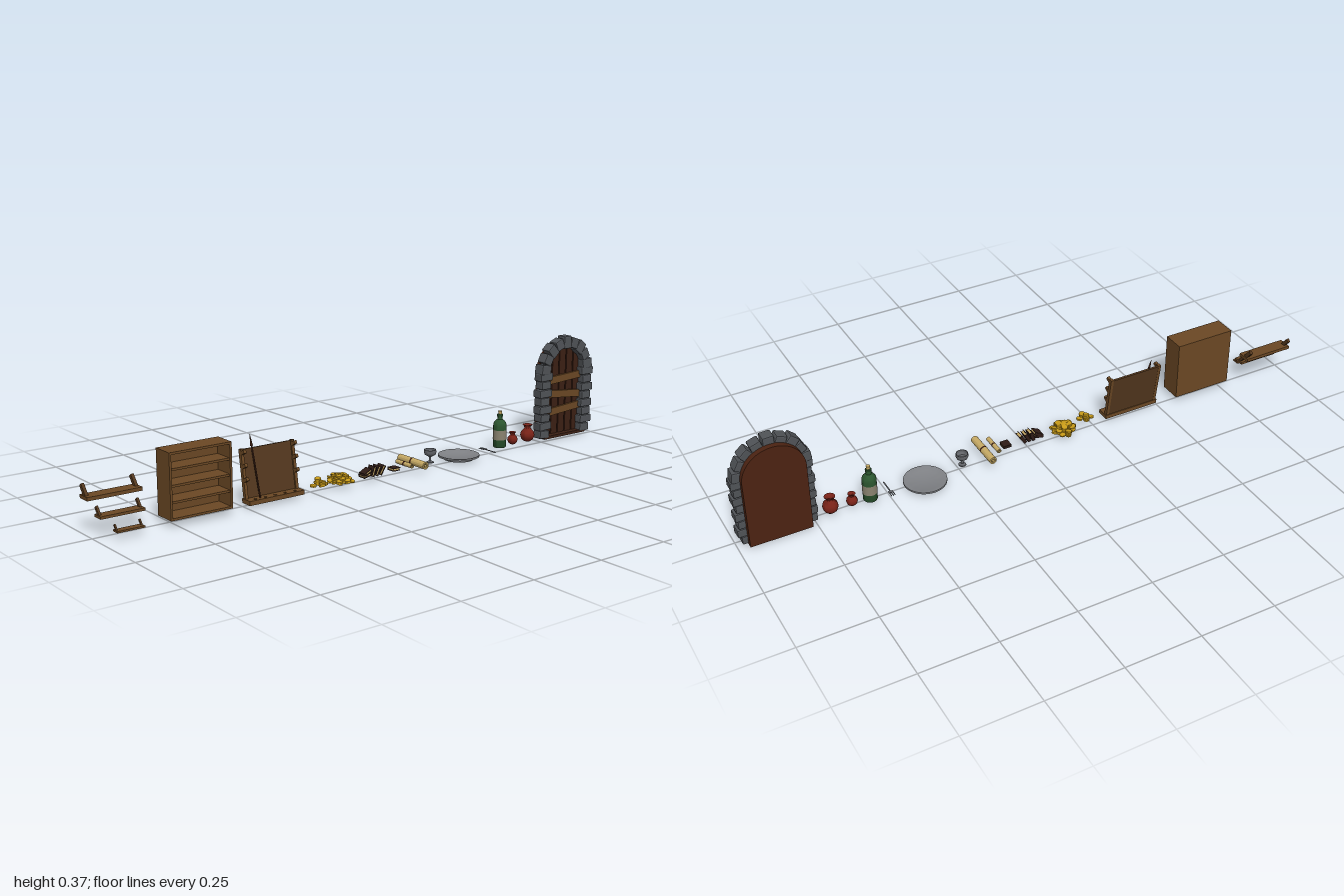
import * as THREE from 'three';
import { toCreasedNormals } from 'three/addons/utils/BufferGeometryUtils.js';
import { RoundedBoxGeometry } from 'three/addons/geometries/RoundedBoxGeometry.js';

const mat = (color, flatShading = true) =>
  new THREE.MeshStandardMaterial({ color, flatShading, side: THREE.DoubleSide });
const WOOD = mat(0x6b4824), DARK_WOOD = mat(0x54381e), DOOR = mat(0x4c2312), PLANK = mat(0x3c2014);
const STONE = mat(0x505357), GOLD = mat(0xc79a18), BOOK = mat(0x2e1c16), PAPER = mat(0xc9ac66);
const METAL = mat(0x63656a, false), GLASS = mat(0x2b552f, false), LABEL = mat(0x8a8370, false);
const CLAY = mat(0x7a2318, false), PLATE = mat(0x808286, false);

let seed = 7;
const rand = () => (seed = (seed * 16807) % 2147483647) / 2147483647;
const jitter = (a) => (rand() - 0.5) * 2 * a;

function add(parent, name, geometry, material, x = 0, y = 0, z = 0) {
  const m = new THREE.Mesh(geometry, material);
  m.name = name;
  m.position.set(x, y, z);
  parent.add(m);
  return m;
}
function group(parent, name, x = 0, y = 0, z = 0) {
  const g = new THREE.Group();
  g.name = name;
  g.position.set(x, y, z);
  parent.add(g);
  return g;
}
// Box given by its minimum and maximum corners
function span(parent, name, material, x0, x1, y0, y1, z0, z1) {
  return add(parent, name, new THREE.BoxGeometry(x1 - x0, y1 - y0, z1 - z0), material,
    (x0 + x1) / 2, (y0 + y1) / 2, (z0 + z1) / 2);
}
// Turned part from [radius, height] pairs
function lathe(pts, segments = 24, crease = 0.7) {
  return toCreasedNormals(new THREE.LatheGeometry(pts.map((p) => new THREE.Vector2(...p)), segments), crease);
}

// Arched door in a stone surround, facing +x
function door(root) {
  const g = group(root, 'archedDoor', 0, 0, -0.867);
  const spring = 0.245;
  const arch = new THREE.Shape();
  arch.moveTo(-0.1, 0.01).lineTo(0.1, 0.01).lineTo(0.1, spring);
  arch.absarc(0, spring, 0.1, 0, Math.PI).lineTo(-0.1, 0.01);
  const side = (shape, depth) => new THREE.ExtrudeGeometry(shape, { depth, bevelEnabled: false, curveSegments: 20 })
    .rotateY(-Math.PI / 2);
  add(g, 'doorPanel', side(arch, 0.021), DOOR, -0.031);
  // Vertical planks trimmed to the arch
  for (let i = -2; i <= 2; i++) {
    const a = i * 0.034 - 0.0145, b = a + 0.029;
    const top = (z) => spring + Math.sqrt(0.0081 - z * z);
    const s = new THREE.Shape();
    s.moveTo(a, 0.012).lineTo(b, 0.012).lineTo(b, top(b)).lineTo((a + b) / 2, top((a + b) / 2)).lineTo(a, top(a));
    add(g, 'doorPlank', side(s, 0.009), PLANK, -0.022);
  }
  // Crooked boards nailed across
  [[0.218, 0.05], [0.16, -0.1], [0.105, 0.07]].forEach(([y, tilt]) => {
    add(g, 'crossBoard', new THREE.BoxGeometry(0.008, 0.026, 0.168), WOOD, -0.016, y, 0).rotation.x = tilt;
  });
  span(g, 'threshold', PLANK, -0.03, 0.0, 0.008, 0.018, -0.1, 0.1);
  // Side stones and arch stones
  const stone = (w, h, y, z, angle) => {
    const m = add(g, 'surroundStone', new RoundedBoxGeometry(0.037 + jitter(0.002), h, w, 1, 0.004),
      STONE, -0.0155, y, z);
    m.rotation.set(angle + jitter(0.05), jitter(0.04), 0);
  };
  for (const s of [-1, 1]) {
    for (let i = 0; i < 8; i++) {
      const w = i % 2 ? 0.056 : 0.044;
      stone(w, 0.028, 0.027 + i * 0.0295, s * (0.099 + jitter(0.004)), 0);
    }
  }
  for (let i = 0; i < 9; i++) {
    const a = 0.14 + i * (Math.PI - 0.28) / 8, r = 0.102;
    stone(i % 2 ? 0.037 : 0.045, 0.036, spring + r * Math.sin(a), r * Math.cos(a), -a);
  }
}

// Three wall shelves of shrinking size, each with slanted brackets
function wallShelves(root) {
  [[-0.042, 0.107, 0.912, 0.045, 0.176, 1], [0.006, 0.061, 0.912, 0.036, 0.142, 0.75],
    [0.053, 0.026, 0.91, 0.025, 0.088, 0.5]].forEach(([x, y, z, depth, length, k]) => {
    const g = group(root, 'wallShelf', x, y, z);
    add(g, 'shelfBoard', new THREE.BoxGeometry(depth, 0.011 * k, length), WOOD, 0, 0.0055 * k, 0);
    for (const s of [-1, 1]) {
      add(g, 'bracket', new THREE.BoxGeometry(0.013 * k, 0.044 * k, 0.01 * k), DARK_WOOD,
        -0.012 * k, 0.021 * k, s * (length / 2 - 0.009 * k)).rotation.z = 0.68;
    }
  });
}

// Open bookcase
function bookcase(root) {
  const g = group(root, 'bookcase');
  const [x0, x1, y0, y1, z0, z1, t] = [-0.023, 0.052, 0.022, 0.226, 0.565, 0.775, 0.007];
  span(g, 'backPanel', WOOD, x0, x0 + t, y0, y1, z0, z1);
  span(g, 'sidePanel', WOOD, x0, x1, y0, y1, z0, z0 + t);
  span(g, 'sidePanel', WOOD, x0, x1, y0, y1, z1 - t, z1);
  for (let i = 0; i < 5; i++) {
    const y = y0 + i * (y1 - y0 - t) / 4;
    span(g, 'shelf', WOOD, x0 + t, x1 - (i % 4 ? 0.004 : 0), y, y + t, z0 + t, z1 - t);
  }
}

// Leaning rack with a drilled base, hooked posts and a spear
function weaponRack(root) {
  const g = group(root, 'weaponRack', 0, 0.012, 0.397);
  const base = new THREE.Shape();
  base.moveTo(-0.005, -0.1).lineTo(0.038, -0.1).lineTo(0.038, 0.1).lineTo(-0.005, 0.1);
  for (let i = -2; i <= 2; i++) {
    base.holes.push(new THREE.Path().absarc(0.025, i * 0.036, 0.005, 0, Math.PI * 2));
  }
  add(g, 'rackBase', new THREE.ExtrudeGeometry(base, { depth: 0.014, bevelEnabled: false, curveSegments: 6 })
    .rotateX(Math.PI / 2), WOOD, 0, 0.014, 0);
  const lean = group(g, 'leaningBack', 0.003, 0.006, 0);
  lean.rotation.z = 0.15;
  span(lean, 'backBoard', DARK_WOOD, -0.004, 0.003, 0, 0.158, -0.09, 0.09);
  for (const s of [-1, 1]) {
    add(lean, 'post', new THREE.BoxGeometry(0.013, 0.16, 0.01), WOOD, 0.002, 0.08, s * 0.092);
    for (let i = 0; i < 3; i++) {
      add(lean, 'hook', new THREE.BoxGeometry(0.018, 0.011, 0.01), WOOD, 0.015, 0.066 + i * 0.042, s * 0.092)
        .rotation.z = 0.35;
    }
  }
  const spear = group(g, 'spear', 0.025, 0.006, 0.053);
  spear.rotation.z = 0.27;
  add(spear, 'shaft', new THREE.CylinderGeometry(0.0028, 0.0028, 0.17, 8), PLANK, 0, 0.085, 0);
  add(spear, 'spearhead', new THREE.ConeGeometry(0.005, 0.04, 4), PLANK, 0, 0.188, 0);
}

// Gold coins: a few loose ones and a heaped pile
function coins(root) {
  const g = group(root, 'goldCoins');
  const disc = new THREE.CylinderGeometry(0.0105, 0.0105, 0.005, 12);
  const coin = (x, y, z, tilt) => add(g, 'coin', disc, GOLD, x, y, z).rotation.set(jitter(tilt), 0, jitter(tilt));
  [[0.018, 0.25, 1], [0.03, 0.225, 3], [0.01, 0.228, 4], [0.022, 0.212, 1]].forEach(([x, z, n]) => {
    for (let i = 0; i < n; i++) coin(x + jitter(0.002), 0.026 + i * 0.006, z + jitter(0.002), 0.15);
  });
  for (let i = 0; i < 20; i++) {
    const a = i * 2.4, r = Math.sqrt(i / 20);
    const n = i < 7 ? 4 : 1 + (i % 3);
    for (let j = 0; j < n; j++) {
      coin(0.006 + 0.037 * r * Math.cos(a), 0.02 + j * 0.0065, 0.137 + 0.038 * r * Math.sin(a), 0.3);
    }
  }
}

// Books: a leaning row and one lying flat, pages toward +x
function books(root) {
  const book = (h, t, y, z, tilt) => {
    const g = group(root, 'book', 0.016, y, z);
    g.rotation.x = tilt;
    for (const s of [-1, 1]) span(g, 'cover', BOOK, -0.015, 0.015, -h / 2, h / 2, s * t / 2 - 0.0012, s * t / 2 + 0.0012);
    span(g, 'spine', BOOK, -0.016, -0.013, -h / 2, h / 2, -t / 2, t / 2);
    span(g, 'pages', PAPER, -0.013, 0.0125, -h / 2 + 0.002, h / 2 - 0.002, -t / 2, t / 2);
  };
  [0.02, 0.003, -0.014].forEach((z, i) => book(0.034, 0.009, 0.034, z, -0.35 - i * 0.1));
  book(0.03, 0.008, 0.026, 0.046, -1.35);
  book(0.03, 0.008, 0.035, 0.043, -1.1);
  book(0.028, 0.008, 0.026, -0.072, -Math.PI / 2);
}

// Rolled scrolls with a tie band
function scroll(root, r, length, x, y, z) {
  const g = group(root, 'scroll', x, y, z);
  g.rotation.z = Math.PI / 2;
  const w = r * 0.6;
  add(g, 'paperRoll', lathe([[w, -length / 2], [r, -length / 2], [r, length / 2], [w, length / 2], [w, -length / 2]], 14), PAPER);
  add(g, 'innerRoll', new THREE.CylinderGeometry(r * 0.35, r * 0.35, length * 0.98, 10), PAPER);
  add(g, 'tieBand', new THREE.CylinderGeometry(r * 1.05, r * 1.05, 0.007, 14, 1, true), PLANK);
}

// Goblet, plate, fork, bottle and jars
function tableware(root) {
  add(root, 'goblet', lathe([[0, 0.015], [0.013, 0.015], [0.012, 0.018], [0.004, 0.021], [0.0035, 0.034], [0.008, 0.037],
    [0.018, 0.043], [0.021, 0.051], [0.02, 0.06], [0.0185, 0.06], [0.019, 0.051], [0.014, 0.044], [0, 0.041]]), METAL, 0.001, 0, -0.237);
  add(root, 'plate', lathe([[0, 0.006], [0.044, 0.006], [0.046, 0.002], [0.051, 0.002], [0.054, 0.008], [0.07, 0.012],
    [0.07, 0.018], [0.066, 0.018], [0.05, 0.012], [0, 0.011]], 40), PLATE, -0.013, 0, -0.375);

  const fork = group(root, 'fork', 0, 0.015, -0.495);
  span(fork, 'handle', METAL, -0.012, 0.04, -0.001, 0.001, -0.002, 0.002);
  span(fork, 'forkHead', METAL, -0.021, -0.012, -0.001, 0.001, -0.0075, 0.0075);
  for (const z of [-0.006, 0, 0.006]) span(fork, 'tine', METAL, -0.037, -0.021, -0.001, 0.001, z - 0.0013, z + 0.0013);

  const bottle = group(root, 'bottle', -0.014, 0.013, -0.563);
  add(bottle, 'glass', lathe([[0, 0.005], [0.016, 0], [0.021, 0], [0.023, 0.004], [0.023, 0.076], [0.0215, 0.086], [0.015, 0.094],
    [0.009, 0.099], [0.0085, 0.108], [0.0105, 0.109], [0.0105, 0.115], [0.0085, 0.117], [0, 0.117]]), GLASS);
  add(bottle, 'label', new THREE.CylinderGeometry(0.0236, 0.0236, 0.034, 24, 1, true), LABEL, 0, 0.045, 0);
  add(bottle, 'cork', new THREE.CylinderGeometry(0.007, 0.006, 0.012, 12), PAPER, 0, 0.122, 0);

  const jar = [[0, 0], [0.5, 0], [0.85, 0.35], [1, 0.85], [0.9, 1.3], [0.55, 1.7], [0.42, 1.85], [0.48, 2.1], [0.7, 2.35],
    [0.6, 2.35], [0.35, 2.05], [0.32, 1.8], [0.75, 1.3], [0.8, 0.7], [0, 0.2]];
  [[0.025, -0.695], [0.018, -0.624]].forEach(([s, z]) => {
    add(root, 'clayJar', lathe(jar.map(([r, y]) => [r * s, y * s]), 24, 1), CLAY, -0.014, 0.014, z);
  });
}

export function createModel() {
  const root = new THREE.Group();
  root.name = 'dungeonProps';
  door(root);
  wallShelves(root);
  bookcase(root);
  weaponRack(root);
  coins(root);
  books(root);
  scroll(root, 0.0125, 0.132, 0.013, 0.035, -0.153);
  scroll(root, 0.0075, 0.078, 0.02, 0.036, -0.113);
  tableware(root);
  return root;
}
